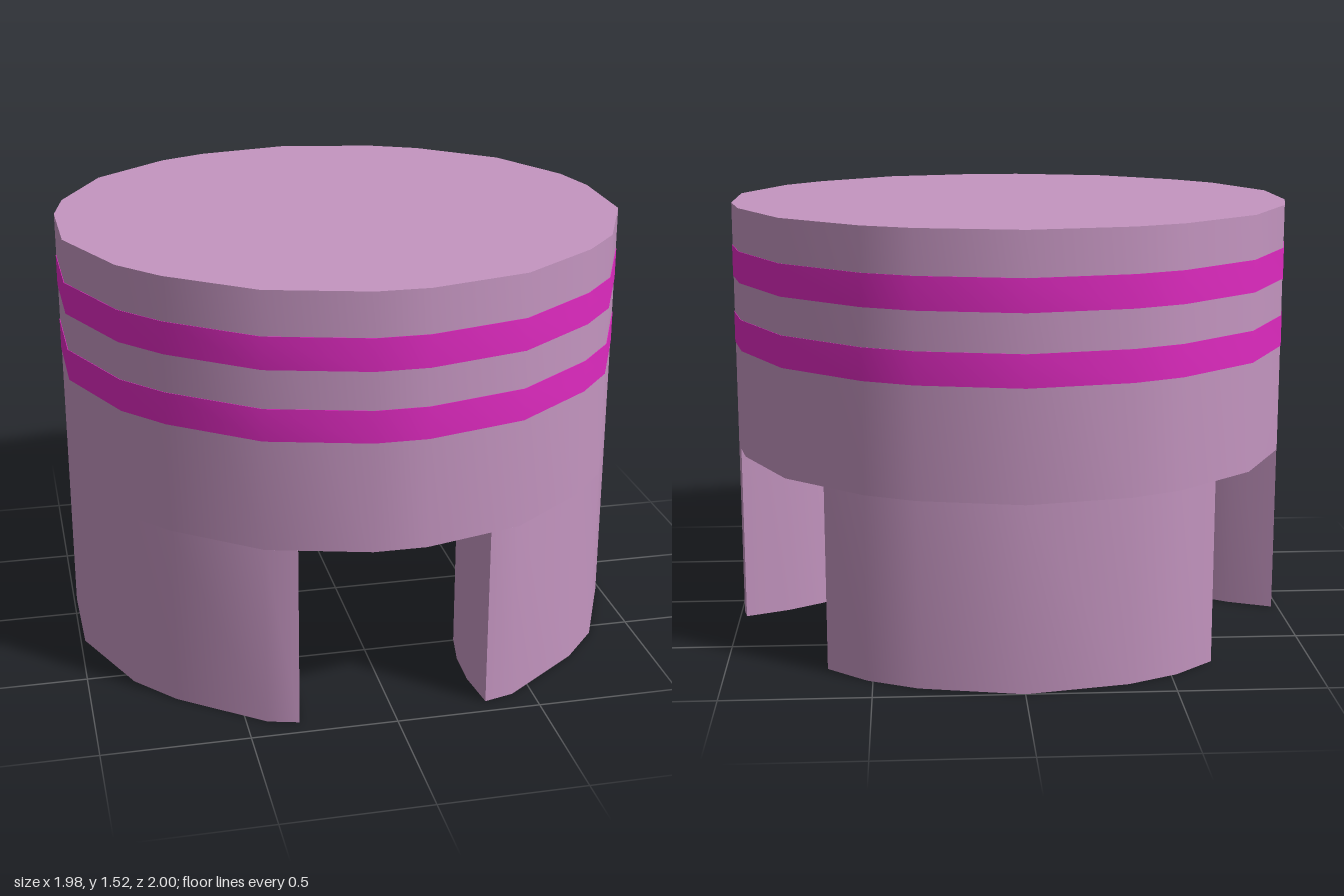
import * as THREE from 'three';
import { toCreasedNormals } from 'three/addons/utils/BufferGeometryUtils.js';

const V = (x, z) => new THREE.Vector2(x, z);
const HEIGHT = 1.52;
const SLOT_HEIGHT = 0.64;

// One half of the faceted plan outline as (x, z), from back to front
const half = [
  [0.35, -0.93], [0.52, -0.85], [0.79, -0.62], [0.95, -0.31], [0.99, -0.12],
  [0.985, 0.22], [0.84, 0.55], [0.71, 0.70], [0.43, 0.91], [0.09, 1],
].map(([x, z]) => V(x, z));
const mirror = (pts) => pts.map((p) => V(-p.x, p.y)).reverse();
const outline = [V(0, -1), ...half, ...mirror(half)];
const scaled = (s) => outline.map((p) => p.clone().multiplyScalar(s));

// Upright solid from a plan outline, smooth around and sharp at the rims
function prism(points, y0, y1, hole) {
  const flip = (pts) => pts.map((p) => V(p.x, -p.y));
  const shape = new THREE.Shape(flip(points));
  if (hole) shape.holes.push(new THREE.Path(flip(hole)));
  const geo = new THREE.ExtrudeGeometry(shape, { depth: y1 - y0, bevelEnabled: false });
  geo.rotateX(-Math.PI / 2).translate(0, y0, 0);
  return toCreasedNormals(geo, 0.6);
}

// Lens-shaped leg plan: outer points closed by an arc bulging to the middle
function lens(outer) {
  const a = outer[outer.length - 1], b = outer[0];
  const mid = a.clone().add(b).multiplyScalar(0.5);
  const chord = b.clone().sub(a);
  const h = chord.length() / 2, sag = 0.25;
  const r = (h * h + sag * sag) / (2 * sag);
  const inward = mid.clone().normalize().negate();
  const inner = [];
  for (let i = 1; i < 10; i++) {
    const t = i / 10;
    const d = (t - 0.5) * 2 * h;
    const bulge = Math.sqrt(r * r - d * d) - (r - sag);
    inner.push(a.clone().addScaledVector(chord, t).addScaledVector(inward, bulge));
  }
  return [...outer, ...inner];
}

export function createModel() {
  const model = new THREE.Group();
  const purple = new THREE.MeshStandardMaterial({ color: 0xc495c0 });
  const magenta = new THREE.MeshStandardMaterial({ color: 0xdf2ac0 });
  const add = (name, geo, mat) => {
    const mesh = new THREE.Mesh(geo, mat);
    mesh.name = name;
    model.add(mesh);
  };

  // Solid upper drum
  add('body', prism(outline, SLOT_HEIGHT, HEIGHT), purple);

  // Two flush coloured bands
  add('lowerBand', prism(scaled(1.002), 1.02, 1.13, scaled(0.99)), magenta);
  add('upperBand', prism(scaled(1.002), 1.26, 1.37, scaled(0.99)), magenta);

  // Coloured underside between the legs
  add('underside', prism(scaled(0.93), SLOT_HEIGHT - 0.003, SLOT_HEIGHT + 0.001), magenta);

  // Three legs separated by slots
  const backHalf = [half[0], half[1], V(0.655, -0.735)];
  const side = [V(0.977, -0.18), ...half.slice(4, 9), V(0.325, 0.938)];
  add('backLeg', prism(lens([...mirror(backHalf), V(0, -1), ...backHalf]), 0, SLOT_HEIGHT), purple);
  add('leftLeg', prism(lens(side), 0, SLOT_HEIGHT), purple);
  add('rightLeg', prism(lens(mirror(side)), 0, SLOT_HEIGHT), purple);

  return model;
}
